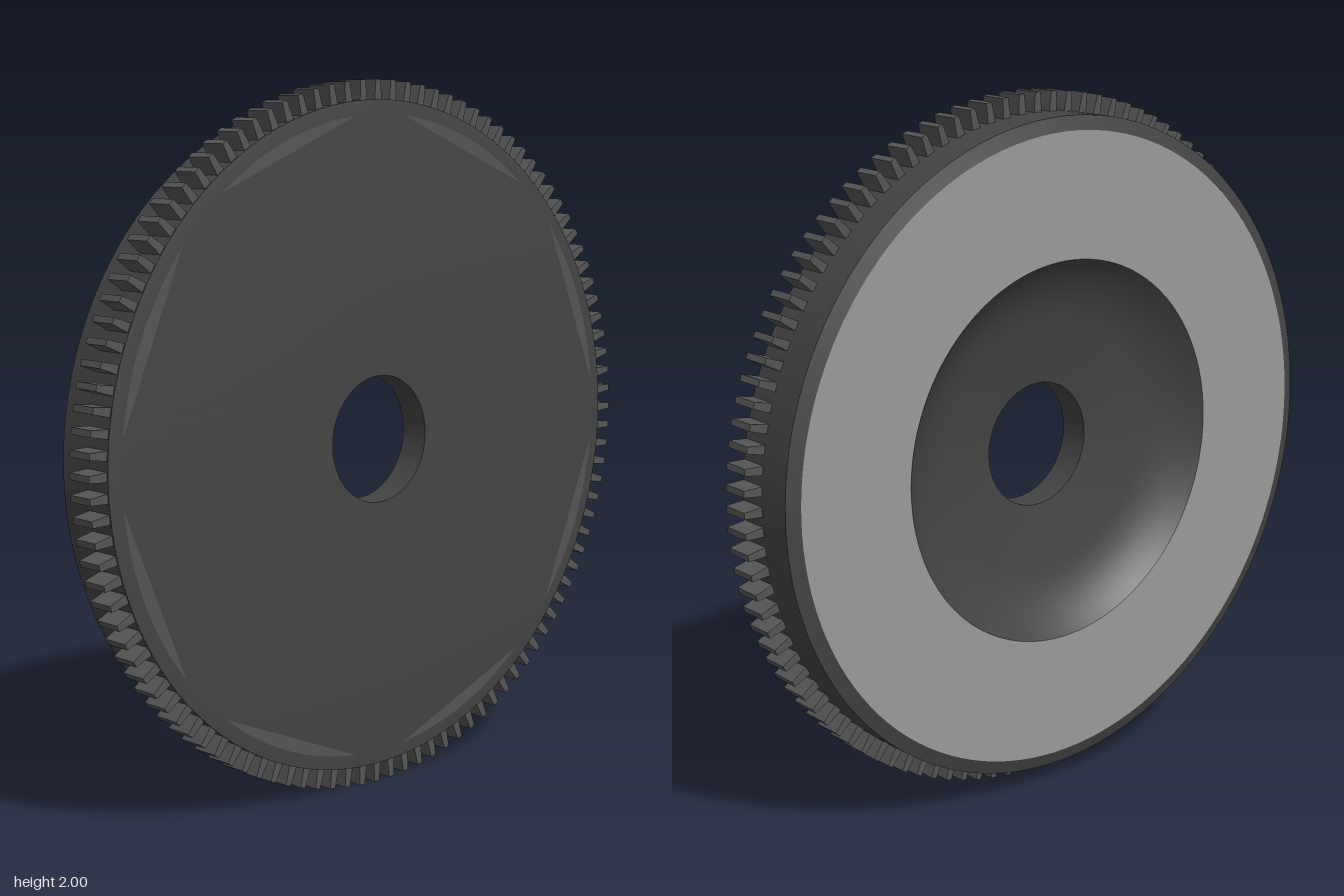
import * as THREE from 'three';
import { toCreasedNormals } from 'three/addons/utils/BufferGeometryUtils.js';

const dark = new THREE.MeshStandardMaterial({ color: 0x444444 });
const steel = new THREE.MeshStandardMaterial({ color: 0x555555 });
const pale = new THREE.MeshStandardMaterial({ color: 0x999999 });

const BACK = -0.105, FRONT = 0.105, BORE = 0.18, FACE = 0.905, RIM = 0.945;
const TEETH = 108;

export function createModel() {
  const model = new THREE.Group();
  model.name = 'toothedDisc';
  const add = (name, geometry, material) => {
    const mesh = new THREE.Mesh(geometry, material);
    mesh.name = name;
    model.add(mesh);
    return mesh;
  };

  // Turned body: rim, front face, bore and the bowl hollowed into the back
  const bowl = new THREE.QuadraticBezierCurve(
    new THREE.Vector2(0.37, -0.012), new THREE.Vector2(0.47, -0.03), new THREE.Vector2(0.55, BACK));
  const profile = [
    [FACE, BACK], [RIM, -0.092], [RIM, 0.1], [FACE, FRONT],
    [BORE, FRONT], [BORE, 0.015],
  ].map(([r, z]) => new THREE.Vector2(r, z)).concat(bowl.getPoints(8));
  const body = new THREE.LatheGeometry(profile, 128);
  body.rotateX(Math.PI / 2);
  add('discBody', toCreasedNormals(body, 0.3), dark);

  // Flat pad on the back
  const pad = new THREE.RingGeometry(0.55, FACE, 128);
  pad.rotateY(Math.PI).translate(0, 0, BACK);
  add('backPad', pad, pale);

  // Ring of slightly tapered teeth
  const tooth = new THREE.Shape([
    [RIM - 0.01, -0.014], [1, -0.009], [1, 0.009], [RIM - 0.01, 0.014],
  ].map(([x, y]) => new THREE.Vector2(x, y)));
  const toothGeometry = new THREE.ExtrudeGeometry(tooth, { depth: 0.084, bevelEnabled: false });
  toothGeometry.translate(0, 0, 0.012);
  const teeth = new THREE.Group();
  teeth.name = 'teeth';
  for (let i = 0; i < TEETH; i++) {
    const mesh = new THREE.Mesh(toothGeometry, steel);
    mesh.name = 'tooth';
    mesh.rotation.z = (i / TEETH) * Math.PI * 2;
    teeth.add(mesh);
  }
  model.add(teeth);

  // Eight flats between arc and chord at the edge of the front face
  const flat = new THREE.Shape();
  flat.absarc(0, 0, FACE, -0.288, 0.288, false);
  flat.closePath();
  const flatGeometry = new THREE.ShapeGeometry(flat, 16);
  for (let i = 0; i < 8; i++) {
    const mesh = add('frontFlat', flatGeometry, steel);
    mesh.position.z = FRONT + 0.001;
    mesh.rotation.z = (i + 0.5) * Math.PI / 4;
  }

  model.position.y = 1;
  const root = new THREE.Group();
  root.add(model);
  return root;
}
